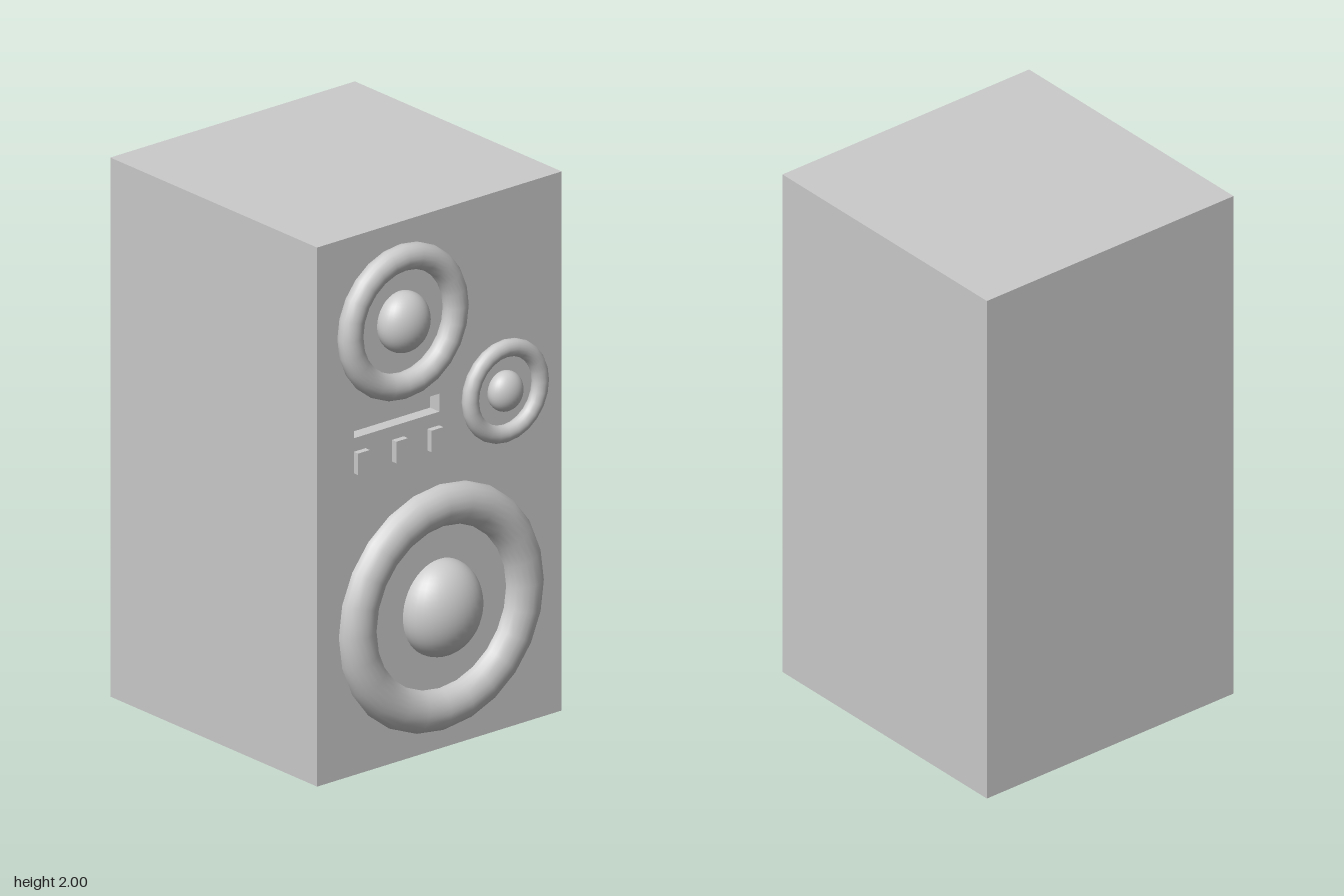
import * as THREE from 'three';

const FACE_X = 0.485; // plane of the baffle that carries the drivers

export function createModel() {
  const model = new THREE.Group();
  model.name = 'loudspeaker';
  const grey = new THREE.MeshStandardMaterial({ color: 0xcccccc });
  const inside = new THREE.MeshStandardMaterial({ color: 0xcccccc, side: THREE.BackSide });

  const add = (parent, name, geometry, x, y, z, material = grey) => {
    const mesh = new THREE.Mesh(geometry, material);
    mesh.name = name;
    mesh.position.set(x, y, z);
    parent.add(mesh);
    return mesh;
  };

  // Box without its +x side
  const openBox = (w, h, d) => {
    const g = new THREE.BoxGeometry(w, h, d);
    g.setIndex(Array.from(g.index.array).slice(6));
    return g;
  };

  const rectangle = (target, x0, y0, x1, y1) => {
    target.moveTo(x0, y0).lineTo(x1, y0).lineTo(x1, y1).lineTo(x0, y1).closePath();
    return target;
  };

  // Cabinet shell, and a baffle with the slot cut out (shape x runs along -z)
  const depth = FACE_X + 0.62;
  add(model, 'cabinet', openBox(depth, 2, 1.105), FACE_X - depth / 2, 1, 0);
  const baffle = rectangle(new THREE.Shape(), -0.5525, 0, 0.5525, 2);
  baffle.holes.push(rectangle(new THREE.Path(), -0.385, 1.25, 0, 1.317));
  add(model, 'baffle', new THREE.ShapeGeometry(baffle), FACE_X, 0, 0).rotation.y = Math.PI / 2;

  // Recessed slot
  const slotDepth = 0.05;
  add(model, 'slotRecess', openBox(slotDepth, 0.067, 0.385),
    FACE_X - slotDepth / 2, 1.2835, 0.1925, inside);

  // Control buttons
  for (const z of [0.36, 0.188, 0.028]) {
    add(model, 'button', new THREE.BoxGeometry(0.04, 0.08, 0.053), FACE_X + 0.003, 1.16, z);
  }

  // Drivers: a ring surround and a slightly flattened dome
  const drivers = [
    { name: 'woofer', y: 0.526, z: 0, R: 0.378, r: 0.077, ringX: 0.483, ringDepth: 0.067,
      dome: [0.128, 0.178, 0.165], domeX: 0.487 },
    { name: 'midrange', y: 1.636, z: 0.18, R: 0.238, r: 0.048, ringX: 0.502, ringDepth: 0.043,
      dome: [0.08, 0.112, 0.105], domeX: 0.504 },
    { name: 'tweeter', y: 1.26, z: -0.283, R: 0.158, r: 0.032, ringX: 0.502, ringDepth: 0.028,
      dome: [0.053, 0.074, 0.07], domeX: 0.502 },
  ];
  for (const d of drivers) {
    const driver = new THREE.Group();
    driver.name = d.name;
    driver.position.set(0, d.y, d.z);
    model.add(driver);

    const ring = new THREE.TorusGeometry(d.R, d.r, 20, 24);
    ring.scale(1, 1, d.ringDepth / d.r).rotateY(Math.PI / 2);
    add(driver, 'surround', ring, d.ringX, 0, 0);

    const dome = new THREE.SphereGeometry(1, 32, 24);
    dome.scale(...d.dome);
    add(driver, 'dome', dome, d.domeX, 0, 0);
  }

  return model;
}
